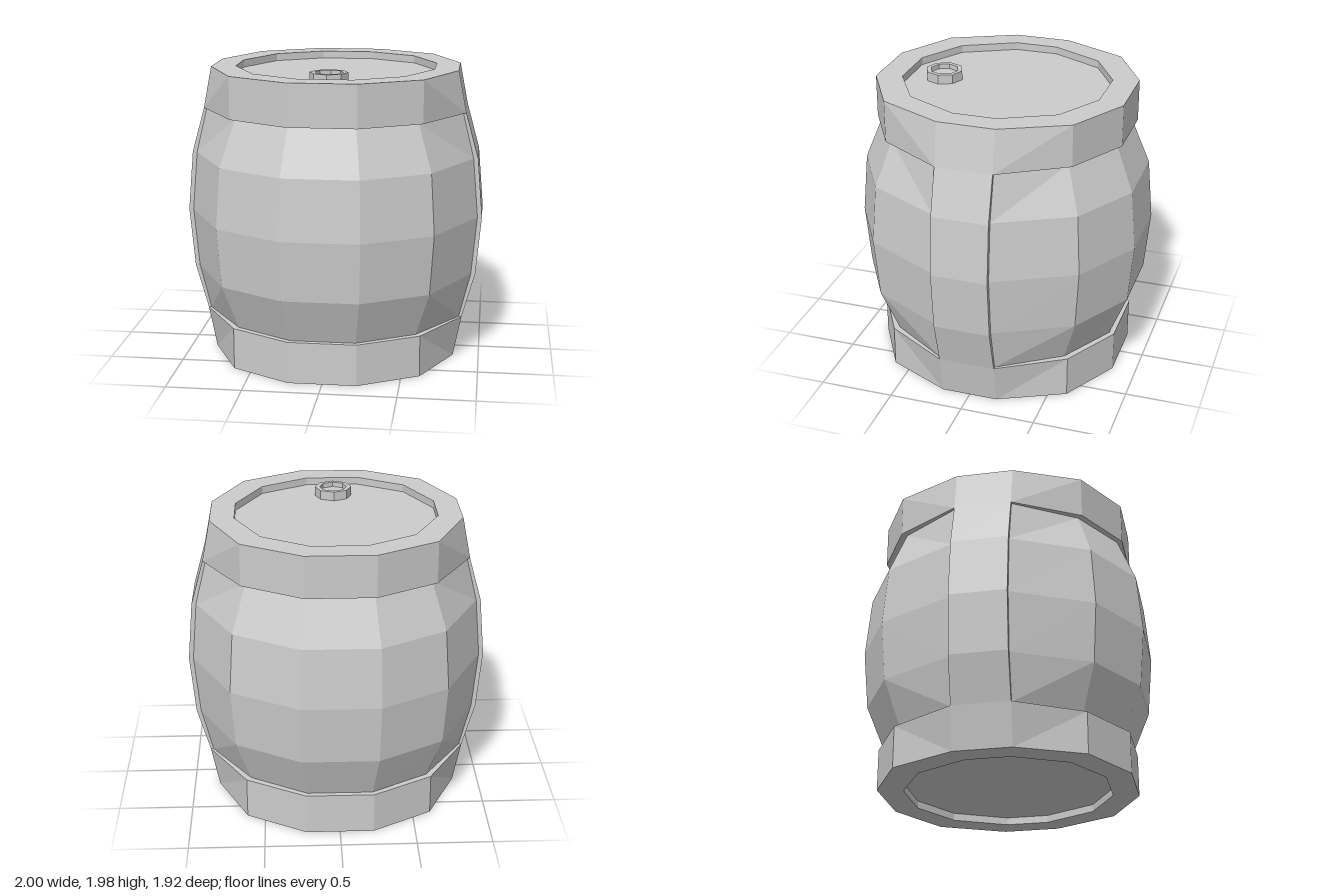
import * as THREE from 'three';

const STRIP_Z = 0.19; // half width of the side strips

// Twelve-sided section, counter-clockwise from above: side corner x, diagonal corner, end corner (ex, ez)
function ring(y, x, d, ex, ez) {
  const quarter = [[x, STRIP_Z], [d, d], [ex, ez]];
  const back = [...quarter].reverse();
  const pts = [
    ...quarter.map(([a, b]) => [a, -b]),
    ...back.map(([a, b]) => [-a, -b]),
    ...quarter.map(([a, b]) => [-a, b]),
    ...back.map(([a, b]) => [a, b]),
  ];
  return pts.map(([a, b]) => [a, y, b]);
}

// Joins successive sections with quads; "closed" wraps each section round
function loft(name, rings, closed = true, side = THREE.FrontSide) {
  const n = rings[0].length, pos = [];
  for (let j = 0; j < rings.length - 1; j++) {
    for (let i = 0; i < (closed ? n : n - 1); i++) {
      const k = (i + 1) % n;
      const a = rings[j][i], b = rings[j][k], c = rings[j + 1][k], d = rings[j + 1][i];
      const flip = n === 12 && i % 6 === 4; // mirror the diagonal beside the strips
      pos.push(...(flip ? [a, b, d, b, c, d] : [a, b, c, a, c, d]).flat());
    }
  }
  const geo = new THREE.BufferGeometry();
  geo.setAttribute('position', new THREE.Float32BufferAttribute(pos, 3));
  geo.computeVertexNormals();
  const mesh = new THREE.Mesh(geo, new THREE.MeshStandardMaterial({ color: 0xcccccc, flatShading: true, side }));
  mesh.name = name;
  return mesh;
}

export function createModel() {
  const barrel = new THREE.Group();
  barrel.name = 'barrel';
  const H = 1.97, RECESS = 0.05;

  // Bulging body between the hoops: [y, side x, diagonal, end x, end z]
  const profile = [
    [0.28, 0.86, 0.59, 0.215, 0.805],
    [0.585, 0.935, 0.68, 0.25, 0.925],
    [0.985, 0.97, 0.705, 0.258, 0.96],
    [1.385, 0.935, 0.68, 0.25, 0.925],
    [1.69, 0.86, 0.59, 0.215, 0.805],
  ];
  barrel.add(loft('body', profile.map((p) => ring(...p))));

  // End hoops with recessed lids, from lid centre to the ledge against the body
  const end = (at) => [
    ring(at(RECESS), 0, 0, 0, 0).map(([, y]) => [0, y, 0]),
    ring(at(RECESS), 0.665, 0.49, 0.18, 0.67).map(([x, y, z], i) =>
      [x, y, i % 6 === 0 || i % 6 === 5 ? Math.sign(z) * 0.145 : z]),
    ring(at(0), 0.665, 0.49, 0.18, 0.67).map(([x, y, z], i) =>
      [x, y, i % 6 === 0 || i % 6 === 5 ? Math.sign(z) * 0.145 : z]),
    ring(at(0), 0.825, 0.62, 0.225, 0.84),
    ring(at(0.28), 0.88, 0.62, 0.225, 0.84),
    ring(at(0.28), 0.86, 0.59, 0.215, 0.805),
  ];
  barrel.add(loft('bottomHoop', end((y) => y)));
  barrel.add(loft('topHoop', end((y) => H - y).reverse()));

  // Raised strips joining the hoops on the left and right
  const stripX = [0.88, 0.965, 1, 0.965, 0.88];
  for (const s of [1, -1]) {
    const rows = profile.map(([y, inner], i) => [
      [s * (inner - 0.01), y, s * STRIP_Z],
      [s * stripX[i], y, s * STRIP_Z],
      [s * stripX[i], y, -s * STRIP_Z],
      [s * (inner - 0.01), y, -s * STRIP_Z],
    ]);
    barrel.add(loft(s > 0 ? 'leftStrip' : 'rightStrip', rows, false));
  }

  // Eight-sided filler cap with a sunken centre
  const capRing = (r, y) => Array.from({ length: 8 }, (_, i) => {
    const a = (i * Math.PI) / 4;
    return [r * Math.cos(a), y, 0.44 - r * Math.sin(a)];
  });
  const floor = H - RECESS;
  barrel.add(loft('fillerCap', [
    capRing(0.125, floor), capRing(0.125, 1.982), capRing(0.094, 1.982),
    capRing(0.094, 1.95), capRing(0, 1.95),
  ]));

  return barrel;
}
